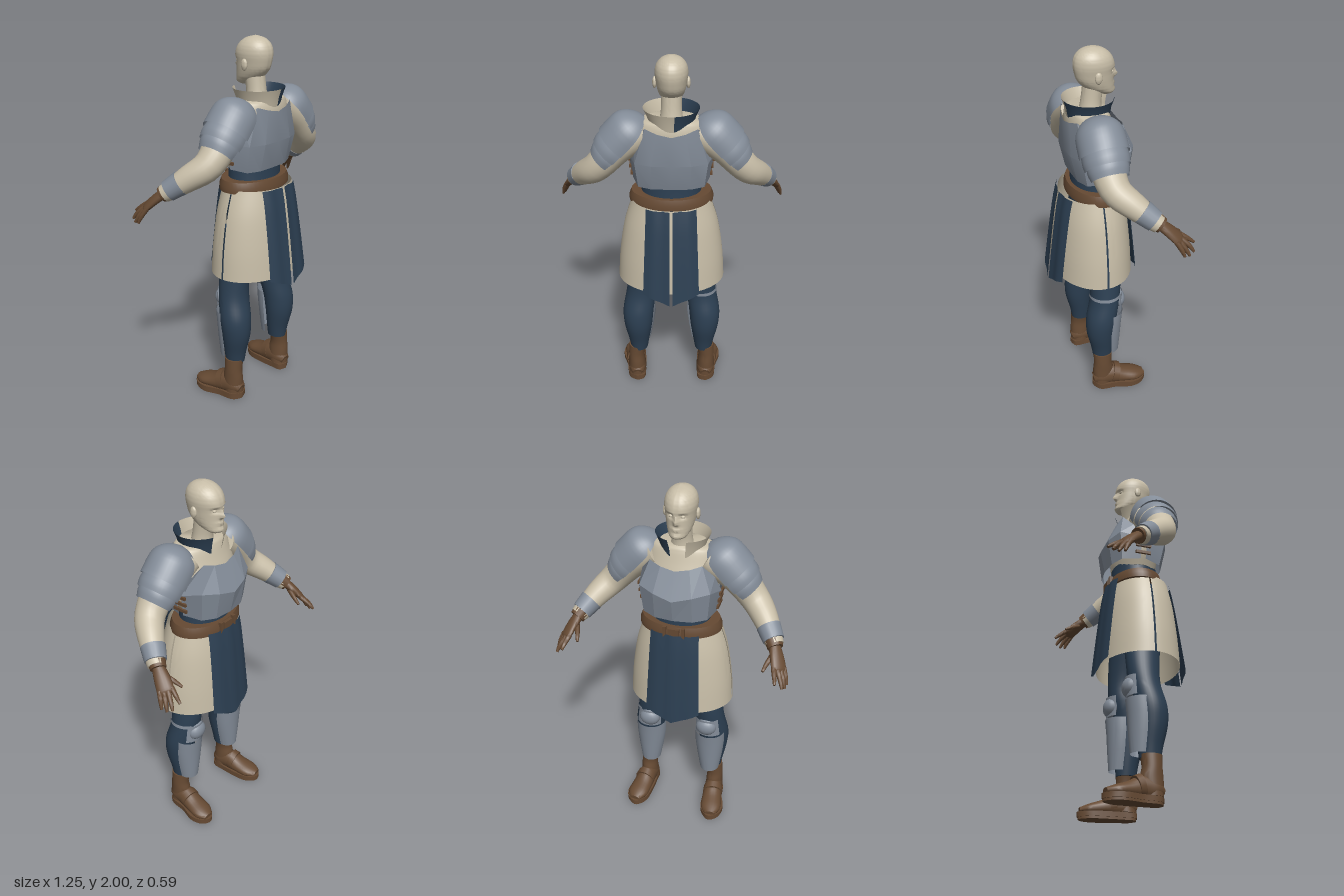
import * as THREE from 'three';
import { toCreasedNormals } from 'three/addons/utils/BufferGeometryUtils.js';

const paint = (name, color) => {
  const m = new THREE.MeshStandardMaterial({ color, side: THREE.DoubleSide });
  m.name = name;
  return m;
};
const V = (p) => new THREE.Vector3(p[0], p[1], p[2]);

// Skin a list of point rings
function loft(rings, closed = true, caps = true) {
  const n = rings[0].length, pos = [], idx = [];
  rings.forEach((r) => r.forEach((p) => pos.push(p.x, p.y, p.z)));
  for (let i = 0; i < rings.length - 1; i++) {
    for (let j = 0; j < (closed ? n : n - 1); j++) {
      const a = i * n + j, b = i * n + ((j + 1) % n);
      idx.push(a, a + n, b, b, a + n, b + n);
    }
  }
  if (closed && caps) {
    [0, rings.length - 1].forEach((k) => {
      const c = new THREE.Vector3();
      rings[k].forEach((p) => c.addScaledVector(p, 1 / n));
      const ci = pos.length / 3;
      pos.push(c.x, c.y, c.z);
      for (let j = 0; j < n; j++) {
        const a = k * n + j, b = k * n + ((j + 1) % n);
        if (k) idx.push(ci, b, a); else idx.push(ci, a, b);
      }
    });
    // Keep the faces pointing outward
    let vol = 0;
    const at = (i) => V(pos.slice(i * 3, i * 3 + 3));
    for (let i = 0; i < idx.length; i += 3) vol += at(idx[i]).dot(at(idx[i + 1]).cross(at(idx[i + 2])));
    if (vol < 0) idx.reverse();
  }
  const g = new THREE.BufferGeometry();
  g.setAttribute('position', new THREE.Float32BufferAttribute(pos, 3));
  g.setIndex(idx);
  return g;
}

// Catmull-Rom through rows of numbers
function smooth(rows, steps = 5) {
  const out = [], last = rows.length - 1;
  for (let i = 0; i < last; i++) {
    for (let s = 0; s < steps; s++) {
      const t = s / steps;
      out.push(rows[i].map((p1, k) => {
        const p2 = rows[i + 1][k], p0 = rows[Math.max(i - 1, 0)][k], p3 = rows[Math.min(i + 2, last)][k];
        return p1 + 0.5 * t * (p2 - p0 + t * (2 * p0 - 5 * p1 + 4 * p2 - p3 + t * (3 * (p1 - p2) + p3 - p0)));
      }));
    }
  }
  return [...out, rows[last]];
}

// Tapered limb: rows are x, y, z, radius, radius
function limb(rows, n = 18, ref = [0, 0, 1], steps = 4) {
  const pts = smooth(rows, steps);
  return loft(pts.map((p, i) => {
    const t = V(pts[Math.min(i + 1, pts.length - 1)]).sub(V(pts[Math.max(i - 1, 0)])).normalize();
    const a = t.clone().cross(V(ref)).normalize(), b = t.clone().cross(a);
    return Array.from({ length: n }, (_, j) => {
      const w = (j / n) * Math.PI * 2;
      return V(p).addScaledVector(a, p[3] * Math.cos(w)).addScaledVector(b, p[4] * Math.sin(w));
    });
  }));
}

// Level ellipses: rows are y, x, z, radius x, radius z; angle 0 is +z, PI is -z
const oval = ([y, x, z, rx, rz], a0, a1, n, closed) => Array.from({ length: n }, (_, j) => {
  const a = a0 + ((a1 - a0) * j) / (closed ? n : n - 1);
  return new THREE.Vector3(x + rx * Math.sin(a), y, z + rz * Math.cos(a));
});
const body = (rows, n = 32) => loft(rows.map((r) => oval(r, 0, Math.PI * 2, n, true)));
const arc = (rows, a0, a1, n = 24) => loft(rows.map((r) => oval(r, a0, a1, n, false)), false);
const ball = (x, y, z, a, b, c) => new THREE.SphereGeometry(1, 18, 12).scale(a, b, c).translate(x, y, z);
const box = (x, y, z, a, b, c) => new THREE.BoxGeometry(a, b, c).translate(x, y, z);

export function createModel() {
  const model = new THREE.Group();
  const cream = paint('cream', 0xc8bea8), navy = paint('navy', 0x2c3f52);
  const steel = paint('steel', 0x838c98), leather = paint('brown leather', 0x664a33);

  const add = (name, geo, mat, crease = 0.8) => {
    const g = toCreasedNormals(geo, crease);
    g.deleteAttribute('uv');
    const mesh = new THREE.Mesh(g, mat);
    mesh.name = name;
    model.add(mesh);
    return mesh;
  };
  const pair = (name, geo, mat, crease) => {
    const g = add(name, geo, mat, crease).geometry.clone().scale(-1, 1, 1);
    for (const key of ['position', 'normal']) {
      const at = g.attributes[key];
      for (let i = 0; i < at.count; i += 3) {
        const p = new THREE.Vector3().fromBufferAttribute(at, i + 1), q = new THREE.Vector3().fromBufferAttribute(at, i + 2);
        at.setXYZ(i + 1, q.x, q.y, q.z);
        at.setXYZ(i + 2, p.x, p.y, p.z);
      }
    }
    const mesh = new THREE.Mesh(g, mat);
    mesh.name = name + 'Mirrored';
    model.add(mesh);
  };

  // Head with sculpted face, looking toward -z
  const head = body(smooth([
    [1.752, 0, -0.045, 0.02, 0.02], [1.765, 0, -0.042, 0.042, 0.044], [1.79, 0, -0.012, 0.059, 0.073],
    [1.83, 0, 0.01, 0.071, 0.092], [1.87, 0, 0.017, 0.077, 0.1], [1.915, 0, 0.019, 0.082, 0.104],
    [1.955, 0, 0.023, 0.073, 0.09], [1.985, 0, 0.026, 0.046, 0.056], [2, 0, 0.028, 0.004, 0.005],
  ], 6), 56);
  const hp = head.attributes.position;
  const bump = (x, y, cx, cy, sx, sy) => Math.exp(-(((x - cx) / sx) ** 2) - ((y - cy) / sy) ** 2);
  for (let i = 0; i < hp.count; i++) {
    const x = Math.abs(hp.getX(i)), y = hp.getY(i), z = hp.getZ(i);
    if (z > -0.02) continue;
    hp.setZ(i, z + 0.014 * bump(x, y, 0.03, 1.876, 0.016, 0.012) - 0.004 * bump(x, y, 0.028, 1.898, 0.025, 0.008)
      - 0.024 * bump(x, y, 0, 1.846, 0.012, 0.014) - 0.012 * bump(x, y, 0, 1.868, 0.009, 0.016)
      - 0.009 * bump(x, y, 0, 1.808, 0.022, 0.009) - 0.007 * bump(x, y, 0, 1.775, 0.02, 0.012));
  }
  add('head', head, cream, 1.4);
  pair('ear', ball(0.083, 1.862, 0.022, 0.011, 0.03, 0.019), cream);
  pair('eye', ball(0.03, 1.874, -0.064, 0.012, 0.008, 0.01), cream);
  add('neck', body(smooth([[1.64, 0, 0.04, 0.068, 0.065], [1.72, 0, 0.034, 0.053, 0.053], [1.81, 0, 0.02, 0.052, 0.055]])), cream);

  // Shirt, sleeves and waist
  add('shirt', body(smooth([[1.33, 0, 0.02, 0.16, 0.115], [1.42, 0, 0.02, 0.19, 0.125], [1.53, 0, 0.03, 0.195, 0.125],
    [1.62, 0, 0.05, 0.19, 0.115], [1.68, 0, 0.055, 0.165, 0.1], [1.695, 0, 0.055, 0.11, 0.09]])), cream, 1.2);
  add('waist', body([[1.2, 0, 0.02, 0.17, 0.13], [1.28, 0, 0.02, 0.158, 0.122], [1.36, 0, 0.02, 0.157, 0.122]]), navy);
  pair('sleeve', limb([[0.13, 1.63, 0.05, 0.085, 0.1], [0.27, 1.54, 0.06, 0.088, 0.092], [0.38, 1.42, 0.052, 0.076, 0.078],
    [0.455, 1.35, -0.02, 0.065, 0.066], [0.528, 1.268, -0.122, 0.045, 0.045]], 24), cream);

  // Flared two-coloured collar, open over the throat
  const collarRows = [[1.745, 0, 0.05, 0.142, 0.132], [1.7, 0, 0.05, 0.122, 0.118], [1.65, 0, 0.05, 0.112, 0.11]];
  add('collarNavySide', arc(collarRows, 0.12, Math.PI - 0.35), navy);
  add('collarCreamSide', arc(collarRows, 0.12, 0.35 - Math.PI), cream);

  // Faceted breastplate and backplate; rows run from the centre outward
  const plate = (rows) => loft(rows.map((r) => [...r.slice(1).reverse().map((p) => V([-p[0], p[1], p[2]])), ...r.map(V)]), false);
  add('breastplate', plate([
    [[0, 1.335, -0.15], [0.1, 1.335, -0.138], [0.17, 1.34, -0.1], [0.197, 1.345, 0.0]],
    [[0, 1.46, -0.176], [0.1, 1.485, -0.16], [0.185, 1.5, -0.115], [0.218, 1.47, -0.005]],
    [[0, 1.6, -0.112], [0.075, 1.615, -0.105], [0.135, 1.635, -0.085], [0.19, 1.56, -0.04]],
  ]), steel, 0.1);
  add('backplate', plate([
    [[0, 1.335, 0.148], [0.1, 1.335, 0.145], [0.17, 1.335, 0.115], [0.2, 1.345, 0.025]],
    [[0, 1.48, 0.183], [0.1, 1.48, 0.178], [0.185, 1.48, 0.145], [0.22, 1.48, 0.03]],
    [[0, 1.635, 0.178], [0.07, 1.65, 0.172], [0.13, 1.67, 0.15], [0.19, 1.6, 0.07]],
  ]), steel, 0.35);
  [1.38, 1.42, 1.46].forEach((y) => pair('sideStrap', box(0.2 + (y - 1.34) * 0.14, y, 0.01, 0.012, 0.016, 0.085), leather));

  // Layered shoulder armour along the upper arm
  [
    [[0.1, 0, 0, 0.005, 0.005], [0.085, 0, 0, 0.055, 0.06], [0.05, 0, 0, 0.103, 0.1], [0, 0, 0, 0.126, 0.122], [-0.1, 0, 0, 0.127, 0.126]],
    [[-0.08, 0, 0, 0.112, 0.114], [-0.13, 0, 0, 0.117, 0.118], [-0.165, 0, 0, 0.11, 0.113]],
    [[-0.145, 0, 0, 0.1, 0.102], [-0.18, 0, 0, 0.1, 0.104], [-0.218, 0, 0, 0.086, 0.094]],
  ].forEach((rows, i) => pair('shoulderPlate' + (i + 1),
    arc(smooth(rows, 3), -0.2, Math.PI + 0.2).rotateZ(0.737).translate(0.2, 1.62, 0.06), steel));

  // Bracers, gloves and fingers
  pair('bracer', limb([[0.478, 1.327, -0.052, 0.063, 0.063], [0.516, 1.284, -0.104, 0.055, 0.055]], 18), steel);
  pair('gloveCuff', limb([[0.515, 1.283, -0.108, 0.046, 0.046], [0.532, 1.262, -0.135, 0.04, 0.04]], 16), leather);
  const across = [1, -0.2, 1];
  pair('palm', limb([[0.525, 1.27, -0.125, 0.026, 0.03], [0.548, 1.23, -0.172, 0.022, 0.04],
    [0.568, 1.19, -0.212, 0.017, 0.042], [0.574, 1.178, -0.224, 0.008, 0.03]], 16, across), leather);
  [
    [[0.525, 1.235, -0.16], [0.505, 1.208, -0.21], [0.492, 1.185, -0.25]],
    [[0.543, 1.2, -0.228], [0.555, 1.175, -0.265], [0.563, 1.15, -0.298]],
    [[0.562, 1.19, -0.222], [0.585, 1.155, -0.258], [0.599, 1.12, -0.282]],
    [[0.576, 1.187, -0.208], [0.597, 1.145, -0.236], [0.61, 1.108, -0.256]],
    [[0.588, 1.188, -0.19], [0.605, 1.148, -0.212], [0.616, 1.112, -0.226]],
  ].forEach((f, i) => pair(i ? 'finger' + i : 'thumb',
    limb(f.map((p, k) => { const r = [0.014, 0.012, 0.007][k]; return [...p, r, r]; }), 10, across), leather));

  // Belt with loops
  add('belt', body([[1.222, 0, 0.02, 0.222, 0.152], [1.25, 0, 0.02, 0.222, 0.152], [1.28, 0, 0.02, 0.21, 0.143]], 48), leather);
  [-0.05, 0.05].forEach((x) => add('beltLoop', box(x, 1.25, -0.128, 0.018, 0.066, 0.02), leather));
  add('buckle', box(0, 1.25, -0.132, 0.06, 0.05, 0.016), leather);

  // Skirt in two shells with side slits
  const skirtRows = smooth([[1.24, 0, 0.043, 0.207, 0.163], [1.1, 0, 0.043, 0.25, 0.188], [0.92, 0, 0.043, 0.279, 0.207], [0.76, 0, 0.043, 0.291, 0.217]]);
  const q = Math.PI / 2, slit = 0.025;
  add('skirtBack', arc(skirtRows, slit - q, q - slit, 40), cream);
  add('skirtFront', arc(skirtRows, q + slit, 3 * q - slit, 40), cream);

  // Pointed hanging panels
  const panel = (x0, x1, z0, z1) => loft(Array.from({ length: 9 }, (_, i) => Array.from({ length: 11 }, (_, j) => {
    const v = i / 8, u = x0 + ((x1 - x0) * j) / 10, s = Math.sign(z1);
    const z = z0 + (z1 - z0) * Math.pow(v, 0.8) - s * 0.03 * u * u + s * 0.003 * Math.cos(u * 9);
    return new THREE.Vector3(u * (0.13 + 0.02 * v), 1.24 - v * (0.54 - 0.06 * Math.abs(u)), z);
  })), false);
  pair('backPanel', panel(0.06, 1, 0.215, 0.29), navy);
  add('frontPanel', panel(-1, 1, -0.143, -0.2), navy);

  // Trousers
  add('hips', body([[1.22, 0, 0.02, 0.165, 0.125], [1.05, 0, 0.03, 0.19, 0.13], [0.93, 0, 0.03, 0.17, 0.11]]), navy);
  pair('leg', body(smooth([[1.0, 0.1, 0.03, 0.095, 0.11], [0.75, 0.158, 0.017, 0.077, 0.09], [0.62, 0.172, 0.02, 0.084, 0.083],
    [0.5, 0.19, 0.045, 0.087, 0.085], [0.4, 0.192, 0.052, 0.079, 0.079], [0.29, 0.19, 0.043, 0.06, 0.063], [0.228, 0.19, 0.04, 0.05, 0.056]])), navy);

  // Shin guards and knee caps
  pair('shinGuard', arc([[0.53, 0.178, 0.008, 0.086, 0.088], [0.46, 0.178, 0.01, 0.086, 0.082],
    [0.36, 0.18, 0.008, 0.074, 0.074], [0.25, 0.182, 0.002, 0.056, 0.06]], q, 3 * q), steel);
  pair('kneeCap', ball(0.168, 0.595, -0.055, 0.06, 0.054, 0.042), steel);
  pair('kneeCuff', arc([[0.65, 0.168, 0.01, 0.082, 0.09], [0.54, 0.176, 0.012, 0.089, 0.088]], Math.PI - 0.9, Math.PI + 0.9), steel);
  add('kneeStrap', arc([[0.652, 0.17, 0.018, 0.086, 0.089], [0.633, 0.172, 0.018, 0.087, 0.089]], -0.4, 2.6), steel);

  // Boots with soles and heels, toes turned slightly out
  pair('bootShaft', body(smooth([[0.04, 0.205, 0.045, 0.052, 0.055], [0.12, 0.207, 0.04, 0.048, 0.06], [0.18, 0.208, 0.043, 0.046, 0.052], [0.245, 0.2, 0.042, 0.05, 0.055]])), leather);
  pair('bootFoot', limb([[0.203, 0.06, 0.097, 0.03, 0.025], [0.205, 0.07, 0.06, 0.05, 0.055], [0.21, 0.075, 0.0, 0.052, 0.066],
    [0.22, 0.06, -0.08, 0.058, 0.045], [0.23, 0.05, -0.15, 0.058, 0.032], [0.235, 0.045, -0.198, 0.03, 0.018]], 20, [0, 1, 0]), leather);
  const sole = new THREE.Shape(smooth([[0.205, 0.105], [0.16, 0.085], [0.157, 0.02], [0.158, -0.07], [0.172, -0.16], [0.225, -0.212],
    [0.28, -0.18], [0.296, -0.11], [0.268, -0.02], [0.255, 0.07], [0.205, 0.105]], 4).map((p) => new THREE.Vector2(p[0], -p[1])));
  const slab = (y, h) => new THREE.ExtrudeGeometry(sole, { depth: h, bevelEnabled: false }).rotateX(-q).translate(0, y, 0);
  pair('sole', slab(0.012, 0.026), leather);
  pair('soleTread', slab(0, 0.012).translate(-0.22, 0, 0.05).scale(0.93, 1, 0.97).translate(0.22, 0, -0.05), leather);
  pair('bootStrap', limb([[0.212, 0.082, -0.012, 0.056, 0.066], [0.217, 0.074, -0.045, 0.059, 0.061]], 20, [0, 1, 0]), leather);

  return model;
}
